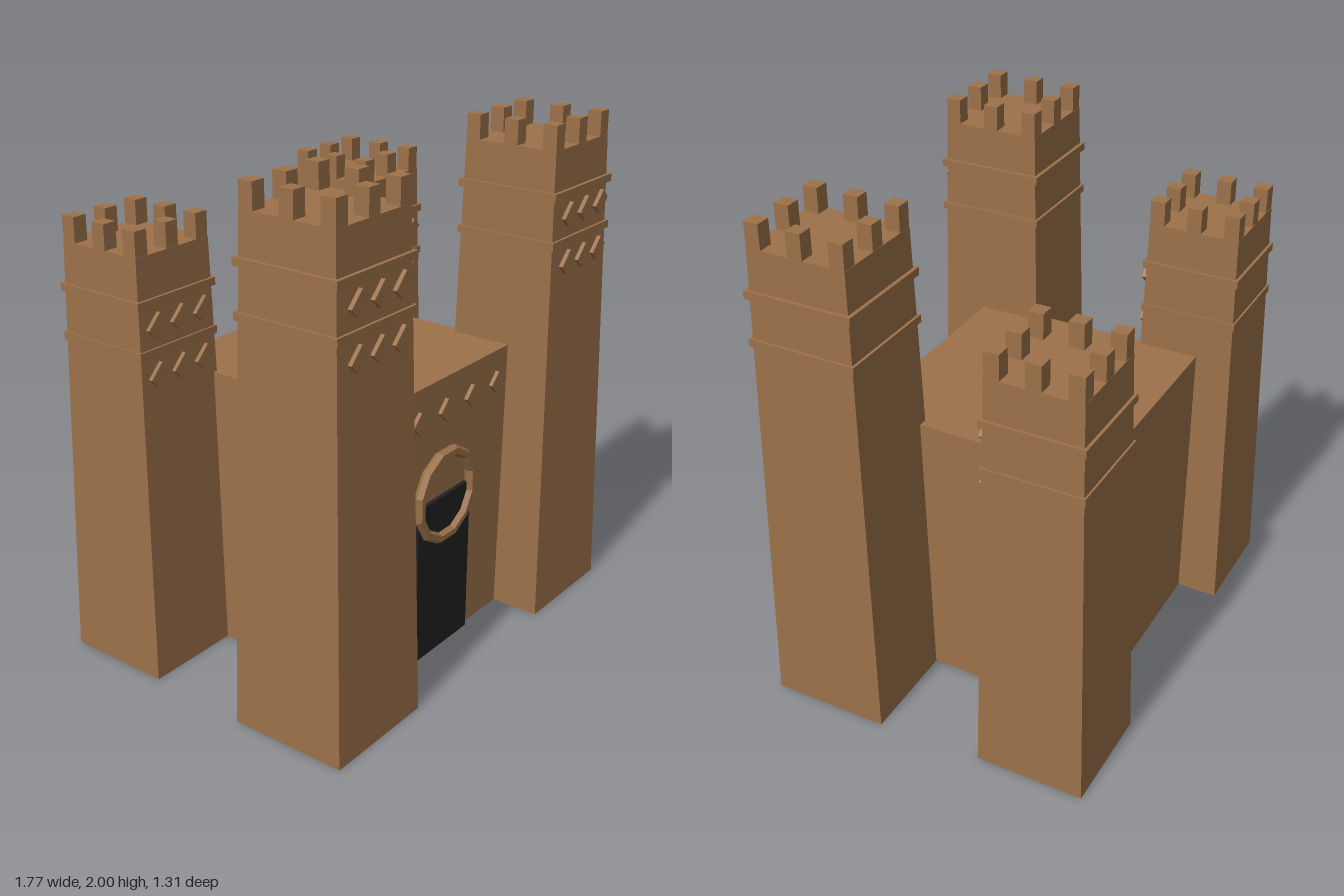
import * as THREE from 'three';

const clay = new THREE.MeshStandardMaterial({ color: 0x9c714a });
clay.name = 'clay brown';
const dark = new THREE.MeshStandardMaterial({ color: 0x222222 });
dark.name = 'door black';

function add(parent, name, geometry, material, x, y, z) {
  const mesh = new THREE.Mesh(geometry, material);
  mesh.name = name;
  mesh.position.set(x, y, z);
  parent.add(mesh);
  return mesh;
}

// Square block tapering from half-width `bottom` to half-width `top`
function taperedBlock(bottom, top, height) {
  const g = new THREE.CylinderGeometry(top * Math.SQRT2, bottom * Math.SQRT2, height, 4).toNonIndexed();
  g.rotateY(Math.PI / 4);
  g.computeVertexNormals();
  return g;
}

// Tapered tower with bands, corner and mid merlons, and slanted tiles on the front
function makeTower(name, o) {
  const tower = new THREE.Group();
  tower.name = name;
  add(tower, 'towerBody', taperedBlock(o.base, o.top, o.height), clay, 0, o.height / 2, 0);

  for (const y of o.bands)
    add(tower, 'band', new THREE.BoxGeometry(o.band * 2, 0.03, o.band * 2), clay, 0, y, 0);

  const m = o.top - 0.03;
  for (const i of [-1, 0, 1]) for (const j of [-1, 0, 1]) {
    if (i === 0 && j === 0) continue;
    add(tower, 'merlon', new THREE.BoxGeometry(0.058, 0.1, 0.058), clay, i * m, o.height + 0.045, j * m);
  }

  for (const y of o.tiles) for (const i of [-1, 0, 1]) {
    const tile = add(tower, 'slantedTile', new THREE.BoxGeometry(0.08, 0.05, 0.016), clay, i * o.tileGap, y, o.tileZ);
    tile.rotation.z = Math.PI / 4;
  }
  return tower;
}

export function createModel() {
  const castle = new THREE.Group();
  castle.name = 'castle';

  // Main hall
  add(castle, 'hall', new THREE.BoxGeometry(0.95, 1.125, 0.948), clay, 0, 0.5625, -0.016);

  // Doorway with a round ring above it
  add(castle, 'door', new THREE.BoxGeometry(0.345, 0.65, 0.04), dark, 0, 0.325, 0.455);
  const ringGeometry = new THREE.TorusGeometry(0.175, 0.022, 6, 12).toNonIndexed();
  ringGeometry.computeVertexNormals();
  const ring = add(castle, 'doorRing', ringGeometry, clay, 0, 0.656, 0.477);
  ring.rotation.z = Math.PI / 12;

  // Row of diamond tiles above the door
  for (let i = -2; i <= 2; i++) {
    const tile = add(castle, 'diamondTile', new THREE.BoxGeometry(0.067, 0.067, 0.016), clay, i * 0.173, 1, 0.473);
    tile.rotation.z = Math.PI / 4;
  }

  // Tall front towers and shorter back towers
  const front = { base: 0.235, top: 0.195, height: 1.905, band: 0.213, bands: [1.735, 1.55],
    tiles: [1.66, 1.475], tileGap: 0.117, tileZ: 0.222 };
  const back = { base: 0.215, top: 0.18, height: 1.645, band: 0.195, bands: [1.475, 1.29],
    tiles: [1.395, 1.21], tileGap: 0.117, tileZ: 0.203 };
  for (const side of [-1, 1]) {
    const word = side > 0 ? 'Left' : 'Right';
    const f = makeTower('front' + word + 'Tower', front);
    f.position.set(side * 0.65, 0, 0.422);
    const b = makeTower('back' + word + 'Tower', back);
    b.position.set(side * 0.65, 0, -0.442);
    castle.add(f, b);
  }
  return castle;
}
